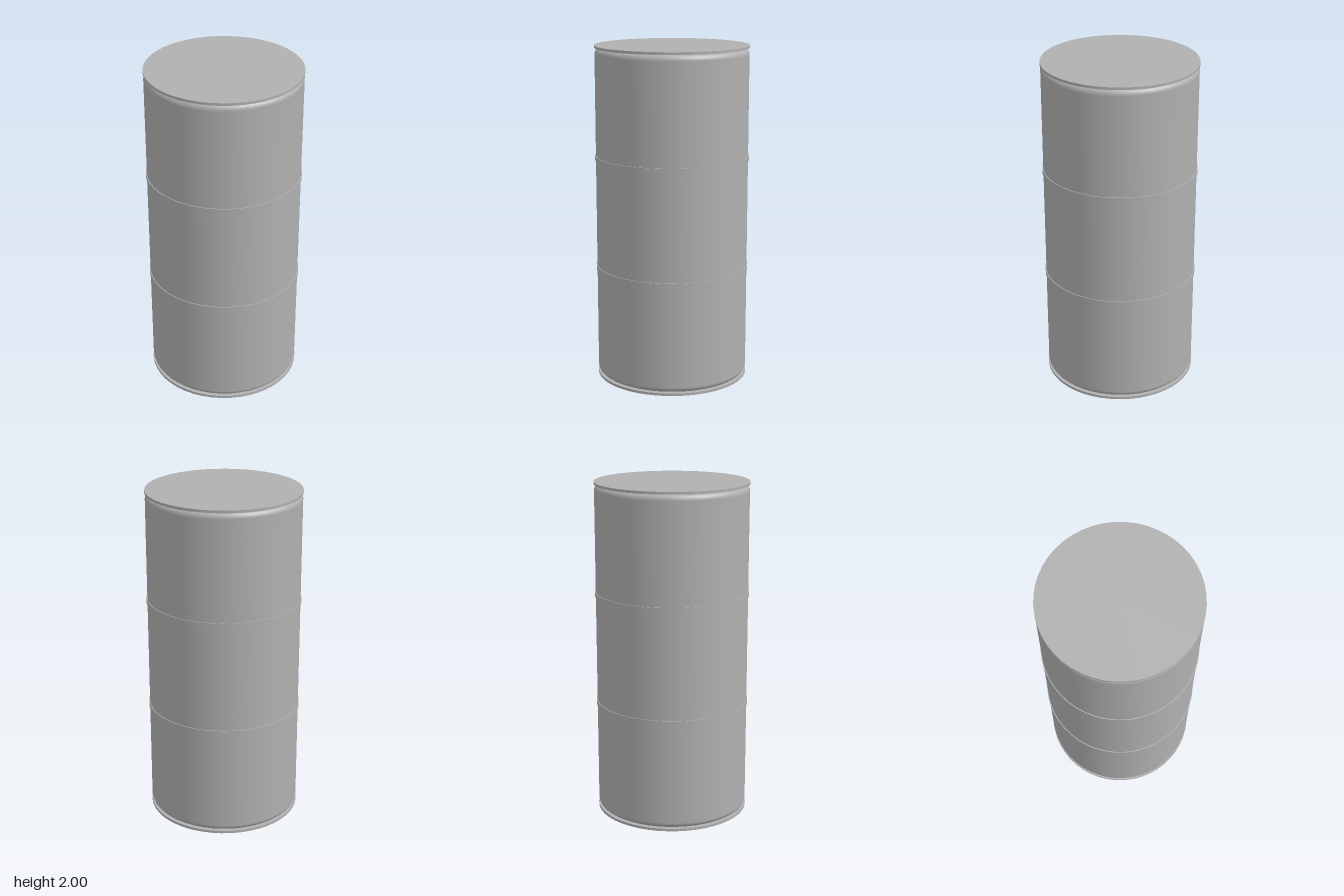
import * as THREE from 'three';

export function createModel() {
  const group = new THREE.Group();
  group.name = 'drum';
  const steel = new THREE.MeshStandardMaterial({ color: 0xb0b0b0 });
  steel.name = 'grey steel';
  const SEGMENTS = 48;

  const add = (name, geometry, y) => {
    const mesh = new THREE.Mesh(geometry, steel);
    mesh.name = name;
    mesh.position.y = y;
    group.add(mesh);
  };

  // Body: a cylinder with rounded shoulders at both ends
  const radius = 0.452, fillet = 0.035, bottom = 0.015, top = 1.985;
  const profile = new THREE.Path();
  profile.moveTo(0, bottom);
  profile.lineTo(radius - fillet, bottom);
  profile.absarc(radius - fillet, bottom + fillet, fillet, -Math.PI / 2, 0, false);
  profile.lineTo(radius, top - fillet);
  profile.absarc(radius - fillet, top - fillet, fillet, 0, Math.PI / 2, false);
  profile.lineTo(0, top);
  add('body', new THREE.LatheGeometry(profile.getPoints(6), SEGMENTS), 0);

  // End plates
  const plate = new THREE.CylinderGeometry(0.454, 0.454, 0.015, SEGMENTS);
  add('bottomPlate', plate, 0.0075);
  add('topPlate', plate, 1.9925);

  // Raised hoops around the body
  const hoop = new THREE.CylinderGeometry(0.457, 0.457, 0.03, SEGMENTS);
  add('lowerHoop', hoop, 0.67);
  add('upperHoop', hoop, 1.337);

  return group;
}
